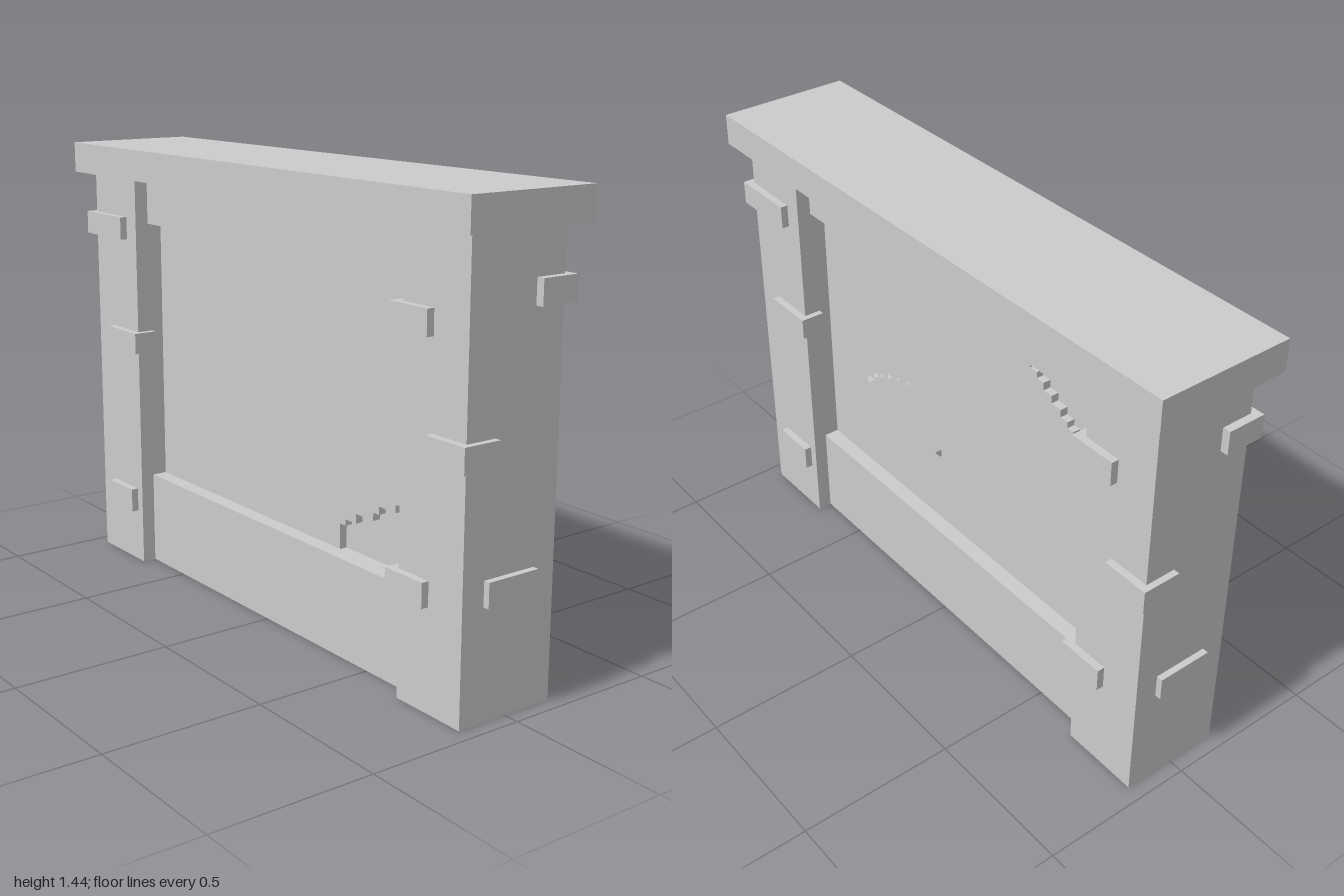
import * as THREE from 'three';

const material = new THREE.MeshStandardMaterial({ color: 0xcccccc, flatShading: true });

// Box given by its limits on each axis
function box(name, [x0, x1], [y0, y1], [z0, z1]) {
  const mesh = new THREE.Mesh(new THREE.BoxGeometry(x1 - x0, y1 - y0, z1 - z0), material);
  mesh.position.set((x0 + x1) / 2, (y0 + y1) / 2, (z0 + z1) / 2);
  mesh.name = name;
  return mesh;
}

// Turns a run of points into a staircase; each step goes up or down first, then across
function steps(points) {
  const out = [points[0]];
  for (let i = 1; i < points.length; i++) {
    const [px, py] = out[out.length - 1];
    const [x, y] = points[i];
    if (y !== py) out.push([px, y]);
    if (x !== px) out.push([x, y]);
  }
  return out.map(([x, y]) => new THREE.Vector2(x, y));
}

const X = 0.69, BOTTOM = 0.31, TOP = 1.185, CORE = 0.045, FACE = 0.07;

// Plaster coat with a broken outline and optional holes
function plaster(outline, holes = []) {
  const shape = new THREE.Shape(outline);
  holes.forEach((h) => shape.holes.push(new THREE.Path(h)));
  const geometry = new THREE.ExtrudeGeometry(shape, { depth: FACE - CORE, bevelEnabled: false });
  const mesh = new THREE.Mesh(geometry, material);
  mesh.position.z = CORE;
  mesh.name = 'plaster';
  return mesh;
}

// Bricks standing out of the pillars, shared by both faces: x, y, z limits
const BRICKS = [
  [[-0.975, -0.75], [1.13, 1.205], [0.065, 0.19]],
  [[-0.85, -0.67], [0.75, 0.82], [0.11, 0.19]],
  [[-0.87, -0.72], [0.18, 0.26], [0.11, 0.19]],
  [[0.66, 0.815], [1.055, 1.13], [0.065, 0.19]],
  [[0.815, 0.97], [0.72, 0.795], [0.065, 0.19]],
  [[0.66, 0.815], [0.31, 0.385], [0.065, 0.19]],
  [[0.9, 0.97], [0.335, 0.41], [-0.09, 0.09]],
];

export function createModel() {
  const model = new THREE.Group();
  model.name = 'wallSection';

  // Main masonry
  model.add(box('capstone', [-1, 1], [1.34, 1.44], [-0.218, 0.218]));
  for (const s of [-1, 1]) {
    const pillar = box('pillar', [0.69, 0.95], [0, 1.34], [-0.166, 0.166]);
    pillar.position.x *= s;
    model.add(pillar);
  }
  model.add(box('baseBeam', [-X, X], [0, BOTTOM], [-0.12, 0.12]));
  model.add(box('topBeam', [-X, X], [TOP, 1.34], [-0.12, 0.12]));
  model.add(box('wallCore', [-X, X], [BOTTOM, TOP], [-CORE, CORE]));

  // The back is the front turned half round, apart from its plaster
  const front = new THREE.Group();
  front.name = 'frontFace';
  const back = new THREE.Group();
  back.name = 'backFace';
  back.rotation.y = Math.PI;
  for (const face of [front, back]) {
    BRICKS.forEach((b) => face.add(box('brick', ...b)));
    model.add(face);
  }

  // Front plaster, broken away at the lower corner
  front.add(plaster([
    ...steps([[0.305, BOTTOM], [0.33, 0.39], [0.38, 0.41], [0.46, 0.44], [0.485, 0.465],
      [0.56, 0.49], [0.61, 0.515], [X, 0.54], [X, TOP]]),
    new THREE.Vector2(-X, TOP), new THREE.Vector2(-X, BOTTOM),
  ]));

  // Back plaster, broken away at the upper corner and in a low patch
  const patch = steps([[-0.42, 0.53], [-0.42, 0.555], [-0.508, 0.555], [-0.508, 0.63],
    [-0.475, 0.63], [-0.44, 0.665], [-0.4, 0.69], [-0.36, 0.705], [-0.31, 0.725], [-0.25, 0.74],
    [-0.21, 0.755], [-0.17, 0.735], [-0.14, 0.715], [-0.115, 0.69], [-0.09, 0.665],
    [-0.06, 0.64], [-0.025, 0.61], [-0.025, 0.555], [-0.11, 0.555], [-0.11, 0.53]]);
  back.add(plaster([
    new THREE.Vector2(X, BOTTOM), new THREE.Vector2(-X, BOTTOM), new THREE.Vector2(-X, TOP),
    ...steps([[0.28, TOP], [0.31, 1.165], [0.345, 1.145], [0.375, 1.125], [0.405, 1.105],
      [0.44, 1.08], [0.48, 1.055], [0.51, 1.03], [0.535, 1.01], [0.56, 0.985], [0.59, 0.955],
      [0.63, 0.93], [0.66, 0.905], [X, 0.885]]),
  ], [patch]));

  return model;
}
